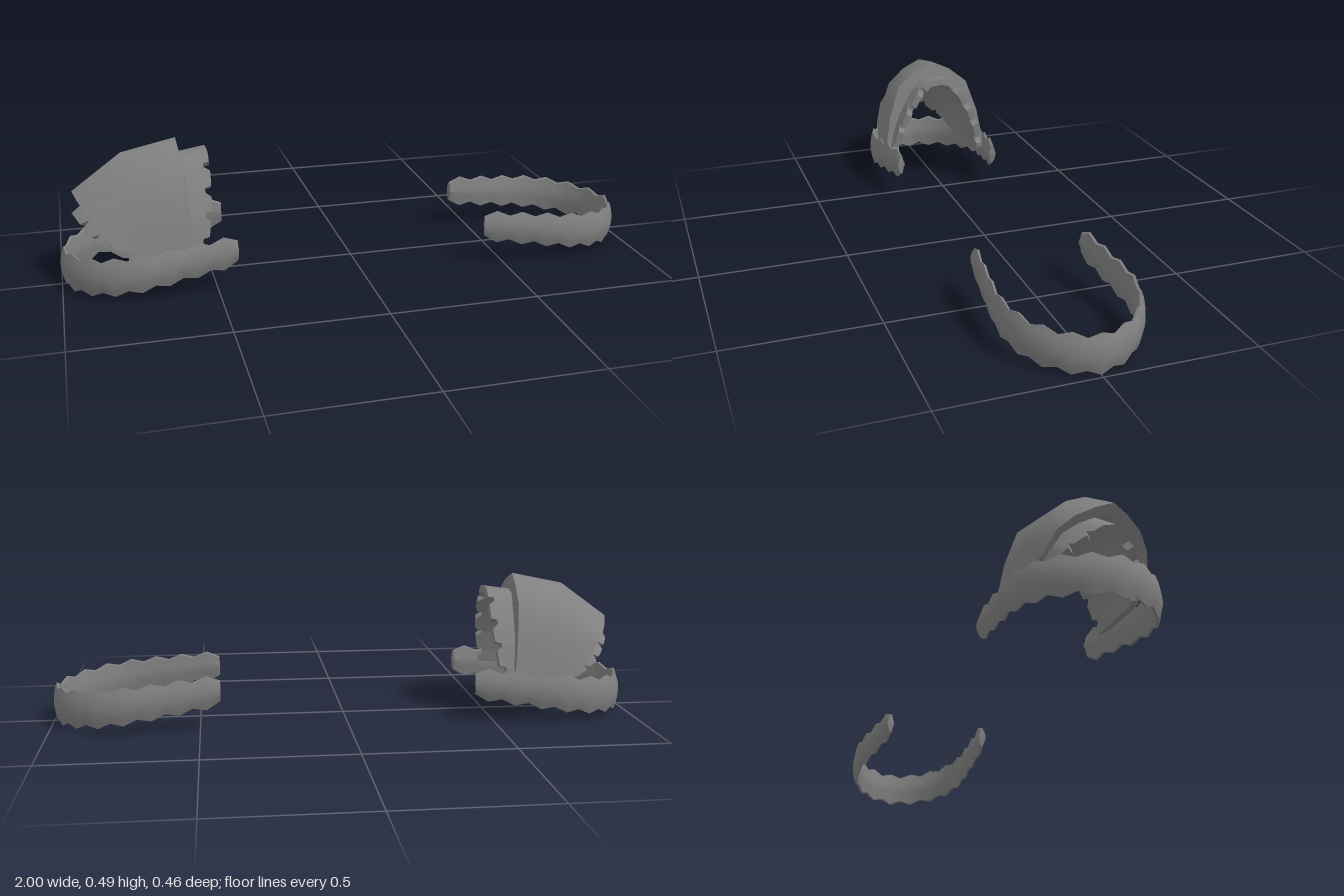
import * as THREE from 'three';
import { toCreasedNormals } from 'three/addons/utils/BufferGeometryUtils.js';

const material = new THREE.MeshStandardMaterial({ color: 0x808080, side: THREE.DoubleSide });
const V = (x, y, z) => new THREE.Vector3(x, y, z);

// Closed thick sheet from a grid of points; the inner face is offset along the
// grid normals by thickness(i, j).
function thickSheet(name, grid, thickness, crease) {
  const n = grid.length, m = grid[0].length;
  const inner = grid.map((row, i) => row.map((p, j) => {
    const a = grid[Math.min(i + 1, n - 1)][j].clone().sub(grid[Math.max(i - 1, 0)][j]);
    const b = row[Math.min(j + 1, m - 1)].clone().sub(row[Math.max(j - 1, 0)]);
    return p.clone().addScaledVector(a.cross(b).normalize(), -thickness(i, j));
  }));
  const pos = [];
  const quad = (a, b, c, d) => [a, b, c, a, c, d].forEach(p => pos.push(p.x, p.y, p.z));
  for (let i = 0; i < n - 1; i++) {
    for (let j = 0; j < m - 1; j++) {
      quad(grid[i][j], grid[i + 1][j], grid[i + 1][j + 1], grid[i][j + 1]);
      quad(inner[i][j], inner[i][j + 1], inner[i + 1][j + 1], inner[i + 1][j]);
    }
    quad(grid[i][0], inner[i][0], inner[i + 1][0], grid[i + 1][0]);
    quad(grid[i][m - 1], grid[i + 1][m - 1], inner[i + 1][m - 1], inner[i][m - 1]);
  }
  for (let j = 0; j < m - 1; j++) {
    quad(grid[0][j], grid[0][j + 1], inner[0][j + 1], inner[0][j]);
    quad(grid[n - 1][j], inner[n - 1][j], inner[n - 1][j + 1], grid[n - 1][j + 1]);
  }
  const geo = new THREE.BufferGeometry();
  geo.setAttribute('position', new THREE.Float32BufferAttribute(pos, 3));
  const mesh = new THREE.Mesh(toCreasedNormals(geo, crease), material);
  mesh.name = name;
  return mesh;
}

// Mirrors half an arch (crown first) into a full arch running from +z to -z.
const fullArch = half => [
  ...half.slice().reverse(),
  ...half.slice(1).map(row => row.map(p => V(p.x, p.y, -p.z))),
];

// U-shaped band with a lens-like section and scalloped edges; side is +1 or -1.
function band(name, side) {
  const half = [[0.43, 0.198], [0.5, 0.208], [0.6, 0.218], [0.73, 0.228], [0.8, 0.218],
    [0.88, 0.187], [0.955, 0.118], [0.988, 0.055]];
  const pts = [...half, [1, 0], ...half.slice().reverse().map(([x, z]) => [x, -z])];
  const curve = new THREE.CatmullRomCurve3(pts.map(([x, z]) => V(x, 0, z)));
  const steps = 30, rows = 6, grid = [];
  const across = j => 2 * j / rows - 1;
  for (let i = 0; i <= steps; i++) {
    const p = curve.getPointAt(i / steps), t = curve.getTangentAt(i / steps);
    const out = V(-t.z, 0, t.x);
    const centre = 0.07 + (1 - p.x) * 0.12;
    const end = Math.min(i, steps - i);
    const height = end === 0 ? 0.036 : (i % 2 ? 0.067 : 0.052) - 0.01 * Math.max(0, 1 - end / 8);
    grid.push(Array.from({ length: rows + 1 }, (_, j) => {
      const v = across(j);
      const q = p.clone().addScaledVector(out, -0.013 * v * v);
      return V(q.x * side, centre + height * v, q.z);
    }));
  }
  if (side < 0) grid.reverse();
  return thickSheet(name, grid, (i, j) => 0.028 - 0.02 * across(j) ** 2, 0.7);
}

// Faceted outer shell of the hood: rows go from crown to lower edge, front to rear.
function hoodShell() {
  const half = [
    [[-0.60, 0.488, 0], [-0.78, 0.45, 0], [-0.945, 0.33, 0]],
    [[-0.595, 0.455, 0.07], [-0.78, 0.418, 0.066], [-0.93, 0.312, 0.05]],
    [[-0.59, 0.40, 0.137], [-0.78, 0.362, 0.127], [-0.905, 0.285, 0.105]],
    [[-0.58, 0.28, 0.178], [-0.77, 0.262, 0.167], [-0.87, 0.25, 0.145]],
    [[-0.57, 0.16, 0.199], [-0.72, 0.155, 0.192], [-0.82, 0.18, 0.174]],
  ].map(row => row.map(p => V(...p)));
  // The front lip is deep enough to meet the liner; the rest is thinner.
  const lip = [0.062, 0.055, 0.05, 0.038, 0.026];
  const depth = (i, j) => lip[Math.abs(i - 4)] * [1, 0.8, 0.5][j];
  return thickSheet('hoodShell', fullArch(half), depth, 0.6);
}

// Inner liner: subdivided arch with a notched front rim and a jagged rear rim.
function hoodLiner() {
  const key = [
    [[-0.50, 0.445, 0], [-0.75, 0.41, 0], [-0.95, 0.255, 0]],
    [[-0.50, 0.44, 0.045], [-0.75, 0.40, 0.042], [-0.94, 0.25, 0.035]],
    [[-0.50, 0.38, 0.097], [-0.75, 0.355, 0.09], [-0.91, 0.215, 0.085]],
    [[-0.505, 0.30, 0.14], [-0.75, 0.285, 0.135], [-0.875, 0.185, 0.125]],
    [[-0.515, 0.23, 0.167], [-0.74, 0.225, 0.157], [-0.83, 0.158, 0.145]],
    [[-0.53, 0.14, 0.187], [-0.72, 0.13, 0.174], [-0.77, 0.125, 0.165]],
  ].map(row => row.map(p => V(...p)));
  const half = [], cuts = [0, 0.4, 0.46, 0.62, 0.8];
  for (let k = 0; k < key.length - 1; k++) {
    cuts.forEach((t, c) => {
      const row = key[k].map((p, j) => p.clone().lerp(key[k + 1][j], t));
      if (k > 0 && (c === 2 || c === 3)) row[0].x -= 0.02;
      if (k > 0 && c === 3) row[2].lerp(row[1], 0.14);
      row.splice(1, 0, row[0].clone().lerp(row[1], 0.25));
      half.push(row);
    });
  }
  const last = key[key.length - 1];
  half.push([last[0], last[0].clone().lerp(last[1], 0.25), last[1], last[2]]);
  return thickSheet('hoodLiner', fullArch(half), () => 0.024, 0.8);
}

export function createModel() {
  const model = new THREE.Group();
  model.name = 'hoodAndBands';
  const hood = new THREE.Group();
  hood.name = 'hood';
  hood.add(hoodShell(), hoodLiner());
  hood.position.z = 0.008;
  model.add(band('leftBand', 1), band('rightBand', -1), hood);
  return model;
}
